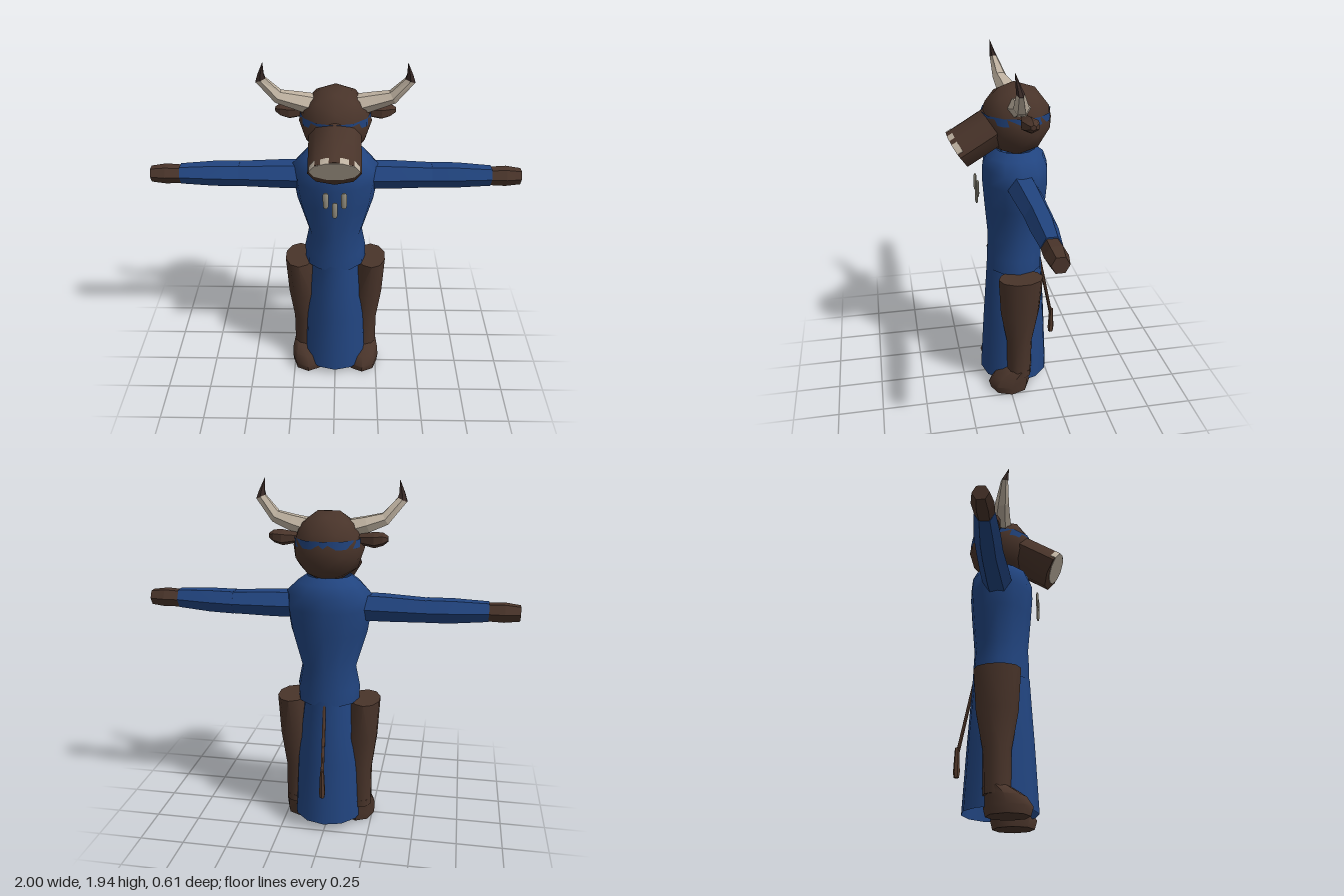
import * as THREE from 'three';
import { mergeVertices, toCreasedNormals } from 'three/addons/utils/BufferGeometryUtils.js';

const V = (x, y, z) => new THREE.Vector3(x, y, z);
const X = V(1, 0, 0), Y = V(0, 1, 0), Z = V(0, 0, 1), DOWN = V(0, -1, 0);

// Skin through elliptical rings [x, y, z, ru, rv, tilt] lying in the plane of u and v;
// tilt turns a ring about u. u cross v points from the first ring to the last; side -1 mirrors in x.
function loft(rings, sides, u, v, { side = 1, crease = 0.1, capped = true } = {}) {
  const pos = [], idx = [];
  const push = (p) => pos.push(p.x * side, p.y, p.z);
  const tri = (a, b, c) => (side > 0 ? idx.push(a, b, c) : idx.push(a, c, b));
  for (const [x, y, z, ru, rv, tilt = 0] of rings) {
    const w = v.clone().applyAxisAngle(u, tilt);
    for (let i = 0; i < sides; i++) {
      const a = (i / sides) * Math.PI * 2;
      push(V(x, y, z).addScaledVector(u, Math.cos(a) * ru).addScaledVector(w, Math.sin(a) * rv));
    }
  }
  for (let r = 0; r < rings.length - 1; r++) {
    for (let i = 0; i < sides; i++) {
      const a = r * sides + i, b = r * sides + ((i + 1) % sides);
      tri(a, b, b + sides);
      tri(a, b + sides, a + sides);
    }
  }
  if (capped) {
    const n = rings.length * sides, last = n - sides;
    push(V(...rings[0].slice(0, 3)));
    push(V(...rings[rings.length - 1].slice(0, 3)));
    for (let i = 0; i < sides; i++) {
      const j = (i + 1) % sides;
      tri(n, j, i);
      tri(n + 1, last + i, last + j);
    }
  }
  const geo = new THREE.BufferGeometry();
  geo.setAttribute('position', new THREE.Float32BufferAttribute(pos, 3));
  geo.setIndex(idx);
  return toCreasedNormals(geo, crease);
}

export function createModel() {
  const model = new THREE.Group();
  model.name = 'hornedRobedFigure';
  const material = (name, color, side = THREE.FrontSide) =>
    Object.assign(new THREE.MeshStandardMaterial({ color, side }), { name });
  const fur = material('brown fur', 0x49342a);
  const cloth = material('blue cloth', 0x21447f, THREE.DoubleSide);
  const horn = material('pale horn', 0xbfb2a1);
  const dark = material('dark horn tip', 0x382926);
  const bone = material('grey bone', 0x928d7e);
  const tailFur = material('tail brown', 0x543a2c);
  const add = (name, geo, mat, parent = model) => {
    const mesh = new THREE.Mesh(geo, mat);
    mesh.name = name;
    parent.add(mesh);
    return mesh;
  };
  const c = -0.057; // depth of the body axis

  // Robe: bodice and open skirt
  add('bodice', loft([
    [0, 0.755, c, 0.155, 0.172], [0, 0.84, c, 0.155, 0.172], [0, 0.95, c, 0.15, 0.15],
    [0, 1.15, c, 0.168, 0.21], [0, 1.28, c, 0.178, 0.23], [0, 1.36, c, 0.176, 0.23],
    [0, 1.42, c, 0.155, 0.17], [0, 1.455, c, 0.11, 0.12],
  ], 12, Z, X, { crease: 1.1, capped: false }), cloth);
  add('skirt', loft([
    [0, 0.045, c, 0.2, 0.2], [0, 0.4, c, 0.181, 0.184], [0, 0.6, c, 0.168, 0.16],
    [0, 0.78, c, 0.157, 0.135],
  ], 12, Z, X, { crease: 1, capped: false }), cloth);

  // Faceted head with a cloth band
  const skull = new THREE.IcosahedronGeometry(0.19, 1).rotateX(-0.553);
  skull.deleteAttribute('normal');
  skull.deleteAttribute('uv');
  add('head', toCreasedNormals(mergeVertices(skull, 1e-4), 1), fur).position.set(0, 1.608, -0.06);
  add('headband', new THREE.CylinderGeometry(0.185, 0.185, 0.042, 12, 1, true), cloth)
    .position.set(0, 1.637, -0.06);

  // Muzzle slanting forward and down, with a nose pad on its end
  const axis = V(0, -0.52, 0.854), up = V(0, 0.854, 0.52);
  const along = (d, lift, rx, ry) => {
    const p = V(0, 1.457, 0.25).addScaledVector(axis, d).addScaledVector(up, lift);
    return [p.x, p.y, p.z, rx, ry];
  };
  add('muzzle', loft([along(-0.25, 0, 0.135, 0.108), along(0, 0, 0.135, 0.108)],
    8, X, up, { crease: 0.9 }), fur);
  add('nosePad', loft([along(-0.03, 0.022, 0.127, 0.081), along(0.003, 0.022, 0.127, 0.081)],
    10, X, up, { crease: 0.7 }), horn);

  for (const side of [1, -1]) {
    const half = new THREE.Group();
    half.name = side > 0 ? 'leftSide' : 'rightSide';
    model.add(half);
    const flat = { side }, soft = { side, crease: 0.85 };

    // Horn sweeping outward, then an upturned tip
    add('horn', loft([
      [0.12, 1.7, -0.05, 0.06, 0.055, 0.2], [0.2, 1.722, -0.045, 0.053, 0.046, 0.3],
      [0.29, 1.75, -0.03, 0.04, 0.036, 0.5], [0.372, 1.846, -0.008, 0.02, 0.03, 1.2],
    ], 6, Z, DOWN, flat), horn, half);
    add('hornTip', loft([
      [0.372, 1.844, -0.008, 0.021, 0.031, -0.37], [0.369, 1.875, 0, 0.014, 0.018, -0.1],
      [0.355, 1.94, 0.015, 0.001, 0.001],
    ], 6, Z, X, flat), dark, half);

    // Ear
    add('ear', loft([
      [0.14, 1.65, -0.08, 0.022, 0.024], [0.24, 1.648, -0.085, 0.042, 0.05],
      [0.285, 1.654, -0.087, 0.034, 0.04], [0.312, 1.656, -0.088, 0.014, 0.016],
    ], 6, Y, Z, flat), fur, half);

    // Sleeve in two pieces and a tapered hand
    add('upperSleeve', loft([
      [0.16, 1.29, -0.062, 0.082, 0.078], [0.3, 1.289, -0.066, 0.08, 0.077],
      [0.522, 1.286, -0.07, 0.07, 0.068],
    ], 6, Z, DOWN, flat), cloth, half);
    add('foreSleeve', loft([
      [0.52, 1.286, -0.07, 0.07, 0.07], [0.66, 1.288, -0.066, 0.068, 0.068],
      [0.84, 1.29, -0.058, 0.052, 0.056],
    ], 6, Z, DOWN, flat), cloth, half);
    add('hand', loft([
      [0.835, 1.288, -0.058, 0.05, 0.05], [0.92, 1.289, -0.058, 0.056, 0.054],
      [1, 1.288, -0.057, 0.042, 0.044],
    ], 6, Z, DOWN, flat), fur, half);

    // Leg with a wide thigh, and a rounded boot
    add('leg', loft([
      [0.18, 0.1, c, 0.07, 0.07], [0.177, 0.33, c, 0.073, 0.073],
      [0.189, 0.53, c, 0.11, 0.088], [0.207, 0.76, c, 0.125, 0.083],
    ], 10, Z, X, soft), fur, half);
    add('foot', loft([
      [0.165, 0, -0.003, 0.112, 0.095], [0.165, 0.045, -0.002, 0.124, 0.1],
      [0.168, 0.095, -0.016, 0.106, 0.094], [0.175, 0.14, -0.057, 0.075, 0.075],
    ], 8, Z, X, soft), fur, half);
  }

  // Three bone charms in front of the chest
  for (const [x, y] of [[-0.048, 1.245], [0, 1.187], [0.048, 1.245]]) {
    add('chestCharm', loft([
      [x, y - 0.045, 0.152, 0.005, 0.01], [x, y - 0.032, 0.152, 0.008, 0.015],
      [x, y + 0.035, 0.152, 0.008, 0.015], [x, y + 0.045, 0.152, 0.005, 0.01],
    ], 8, Z, X, { crease: 1.2 }), bone);
  }

  // Tail and tuft
  add('tail', loft([[0, 0.36, -0.287, 0.01, 0.01], [0, 0.77, -0.205, 0.009, 0.009]],
    6, Z, X, { crease: 1.2 }), tailFur);
  add('tailTuft', loft([
    [0, 0.24, -0.288, 0.014, 0.014], [0, 0.27, -0.288, 0.018, 0.018], [0, 0.4, -0.288, 0.012, 0.012],
  ], 6, Z, X, { crease: 0.9 }), tailFur);
  return model;
}
